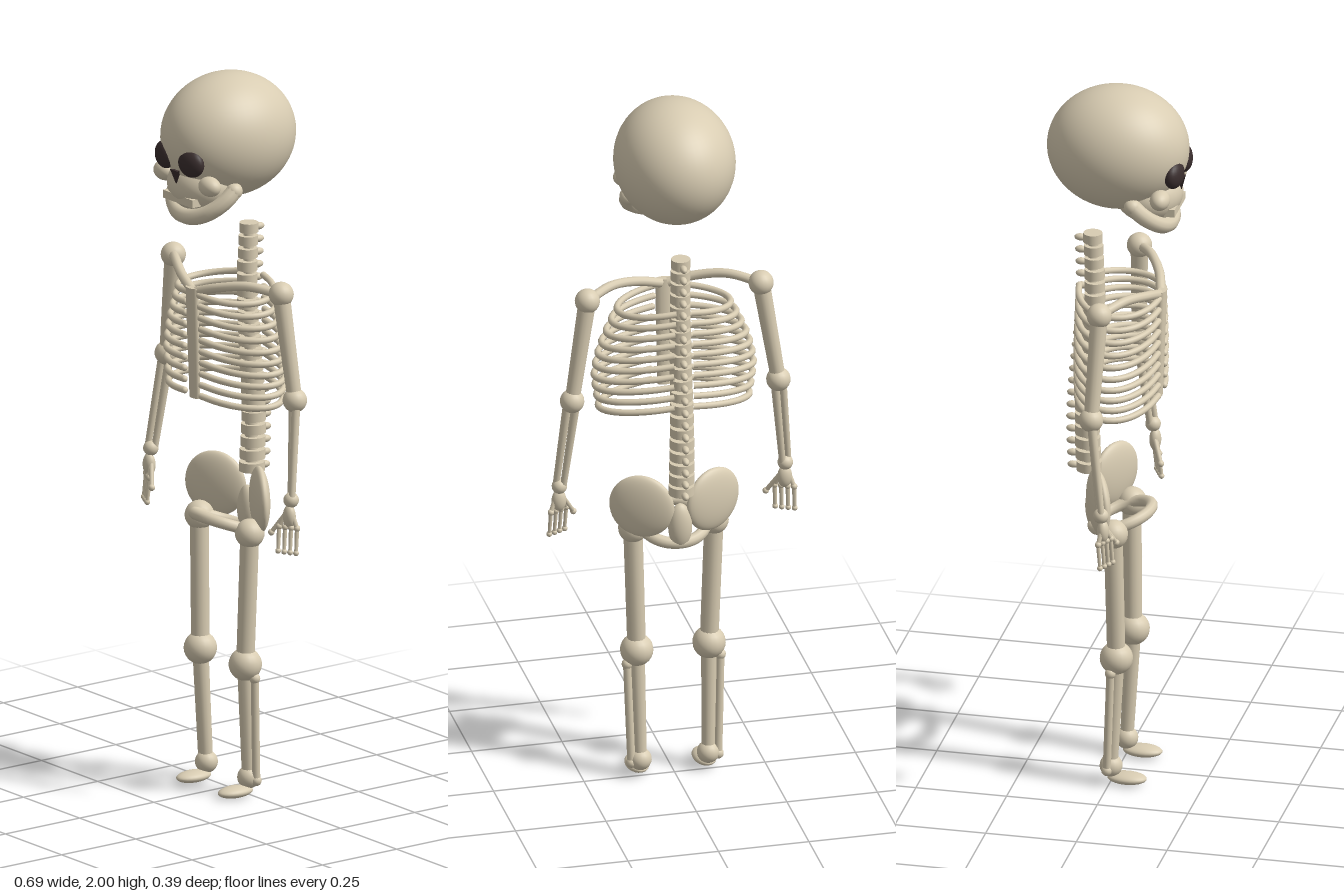
import * as THREE from 'three';

const bone = new THREE.MeshStandardMaterial({ color: 0xd8ccb2 });
bone.name = 'bone';
const dark = new THREE.MeshStandardMaterial({ color: 0x3a2e2e });
dark.name = 'socketDark';

const V = (x, y, z) => new THREE.Vector3(x, y, z);

function add(parent, name, geometry, material = bone) {
  const mesh = new THREE.Mesh(geometry, material);
  mesh.name = name;
  parent.add(mesh);
  return mesh;
}

function ellipsoid(parent, name, p, r, material = bone, seg = 24) {
  const mesh = add(parent, name, new THREE.SphereGeometry(1, seg, Math.round(seg * 0.7)), material);
  mesh.position.copy(p);
  mesh.scale.set(...r);
  return mesh;
}

const ball = (parent, name, p, r, seg = 20) => ellipsoid(parent, name, p, [r, r, r], bone, seg);

// Straight bone from a (radius ra) to b (radius rb)
function rod(parent, name, a, b, ra, rb = ra, seg = 14) {
  const d = b.clone().sub(a);
  const mesh = add(parent, name, new THREE.CylinderGeometry(rb, ra, d.length(), seg));
  mesh.position.copy(a).addScaledVector(d, 0.5);
  mesh.quaternion.setFromUnitVectors(V(0, 1, 0), d.normalize());
  return mesh;
}

function tube(parent, name, points, r, seg = 28, closed = false) {
  const curve = new THREE.CatmullRomCurve3(points, closed);
  return add(parent, name, new THREE.TubeGeometry(curve, seg, r, 10, closed));
}

function part(root, name) {
  const g = new THREE.Group();
  g.name = name;
  root.add(g);
  return g;
}

function buildSkull(root) {
  const g = part(root, 'skull');
  ellipsoid(g, 'cranium', V(0, 1.83, 0), [0.163, 0.17, 0.193], bone, 48);
  ellipsoid(g, 'face', V(0, 1.705, 0.085), [0.105, 0.078, 0.092], bone, 32);
  for (const s of [-1, 1]) {
    const eye = ellipsoid(g, 'eyeSocket', V(s * 0.058, 1.787, 0.168), [0.042, 0.038, 0.024], dark);
    eye.rotation.y = s * 0.2;
    ellipsoid(g, 'cheekbone', V(s * 0.1, 1.727, 0.138), [0.036, 0.027, 0.027]);
  }
  // Nose opening: a small wedge pointing down
  const nose = add(g, 'noseOpening', new THREE.ConeGeometry(0.02, 0.045, 3), dark);
  nose.position.set(0, 1.735, 0.173);
  nose.rotation.x = Math.PI;
  const teeth = add(g, 'teeth', new THREE.BoxGeometry(0.13, 0.022, 0.03));
  teeth.position.set(0, 1.675, 0.155);
  // Jaw: a U-shaped tube sloping forward and down
  const pts = [];
  for (let i = 0; i <= 12; i++) {
    const t = Math.PI * i / 12;
    pts.push(V(0.113 * Math.cos(t), 1.705 - 0.08 * Math.sin(t), 0.065 + 0.08 * Math.sin(t)));
  }
  tube(g, 'jaw', pts, 0.023, 40);
  ball(g, 'jawEnd', pts[0], 0.023);
  ball(g, 'jawEnd', pts[12], 0.023);
}

function buildSpine(root) {
  const g = part(root, 'spine');
  const n = 20;
  for (let i = 0; i < n; i++) {
    const t = i / (n - 1);
    const y = 1.555 - 0.67 * t;
    const z = -0.07 - 0.01 * t + 0.008 * Math.sin(t * Math.PI * 2);
    const r = 0.026 + 0.009 * t;
    const v = add(g, 'vertebra', new THREE.CylinderGeometry(r, r, 0.026, 18));
    v.position.set(0, y, z);
    ellipsoid(g, 'spinousProcess', V(0, y - 0.003, z - r - 0.008), [0.01, 0.01, 0.017], bone, 12);
  }
  rod(g, 'spinalCore', V(0, 1.555, -0.068), V(0, 0.885, -0.08), 0.014, 0.018);
}

function buildRibcage(root) {
  const g = part(root, 'ribcage');
  rod(g, 'sternum', V(0, 1.11, 0.112), V(0, 1.42, 0.122), 0.02, 0.024).scale.z = 0.5;
  for (let i = 0; i < 10; i++) {
    const t = i / 9;
    const y = 1.402 - 0.28 * t;
    const w = 0.155 + 0.065 * Math.sin(Math.min(1, t * 1.4) * Math.PI / 2) - 0.012 * Math.max(0, t - 0.7) / 0.3;
    for (const s of [-1, 1]) {
      // Half ellipse from the spine round to the breastbone
      const pts = [];
      for (let k = 0; k <= 10; k++) {
        const a = -Math.PI / 2 + 0.12 + (Math.PI - 0.3) * k / 10;
        pts.push(V(s * w * Math.cos(a), y + 0.012 - 0.02 * Math.cos(a) - 0.008 * Math.sin(a), 0.008 + 0.112 * Math.sin(a)));
      }
      tube(g, 'rib', pts, 0.009);
      ball(g, 'ribTip', pts[10], 0.009, 10);
    }
  }
}

function buildArm(root, s) {
  const g = part(root, s > 0 ? 'leftArm' : 'rightArm');
  const P = (x, y, z) => V(s * x, y, z);
  const shoulder = P(0.24, 1.435, 0.003), elbow = P(0.285, 1.147, -0.009), wrist = P(0.312, 0.88, 0.024);
  tube(g, 'collarbone', [P(0.01, 1.41, 0.115), P(0.08, 1.432, 0.095), P(0.16, 1.447, 0.055), shoulder], 0.013);
  ball(g, 'shoulderJoint', shoulder, 0.034);
  rod(g, 'upperArm', shoulder, elbow, 0.024, 0.02);
  ball(g, 'elbowJoint', elbow, 0.033);
  rod(g, 'ulna', P(0.274, 1.147, -0.012), P(0.303, 0.88, 0.018), 0.012, 0.009);
  rod(g, 'radius', P(0.296, 1.147, -0.005), P(0.321, 0.88, 0.028), 0.012, 0.009);
  ball(g, 'wristJoint', wrist, 0.021);
  ellipsoid(g, 'palm', P(0.312, 0.835, 0.03), [0.02, 0.032, 0.016]);
  // Four fingers with knuckles, then the thumb
  for (let i = 0; i < 4; i++) {
    const x = 0.288 + 0.016 * i, z = 0.046 - 0.008 * i;
    const base = P(x, 0.805, z), tip = P(x + 0.003, 0.738, z + 0.006);
    rod(g, 'handBone', P(0.305 + 0.005 * i, 0.85, 0.03), base, 0.007, 0.006, 8);
    ball(g, 'knuckle', base, 0.009, 10);
    rod(g, 'finger', base, tip, 0.006, 0.005, 8);
    ball(g, 'fingertip', tip, 0.008, 10);
  }
  const thumb = P(0.266, 0.785, 0.056);
  rod(g, 'thumb', P(0.302, 0.845, 0.03), thumb, 0.007, 0.006, 8);
  ball(g, 'thumbTip', thumb, 0.009, 10);
}

function buildPelvis(root) {
  const g = part(root, 'pelvis');
  for (const s of [-1, 1]) {
    const hip = ellipsoid(g, 'hipBlade', V(s * 0.098, 0.822, -0.032), [0.09, 0.09, 0.025], bone, 32);
    hip.rotation.y = -s * 0.48;
  }
  ellipsoid(g, 'sacrum', V(0, 0.768, -0.065), [0.033, 0.066, 0.025]);
  // Tilted ring, higher at the front
  const ring = [];
  for (let i = 0; i < 16; i++) {
    const a = Math.PI * 2 * i / 16;
    ring.push(V(0.088 * Math.cos(a), 0.745 + 0.028 * Math.sin(a), 0.012 + 0.078 * Math.sin(a)));
  }
  tube(g, 'pelvicRing', ring, 0.016, 48, true);
}

function buildLeg(root, s) {
  const g = part(root, s > 0 ? 'leftLeg' : 'rightLeg');
  const P = (x, y, z) => V(s * x, y, z);
  const hip = P(0.112, 0.738, 0.012), knee = P(0.1, 0.37, 0.018), ankle = P(0.094, 0.05, 0.002);
  ball(g, 'hipJoint', hip, 0.04);
  rod(g, 'thighBone', hip, knee, 0.026, 0.025);
  ball(g, 'kneeJoint', knee, 0.045);
  rod(g, 'shinBone', knee, ankle, 0.022, 0.018);
  const top = P(0.129, 0.335, 0.008), low = P(0.12, 0.045, -0.004);
  rod(g, 'calfBone', top, low, 0.011);
  ball(g, 'calfBoneTop', top, 0.015, 12);
  ball(g, 'calfBoneEnd', low, 0.015, 12);
  ball(g, 'ankleJoint', ankle, 0.031);
  ellipsoid(g, 'foot', P(0.093, 0.017, 0.046), [0.032, 0.016, 0.054]);
}

export function createModel() {
  const root = new THREE.Group();
  root.name = 'skeleton';
  buildSkull(root);
  buildSpine(root);
  buildRibcage(root);
  buildPelvis(root);
  for (const s of [-1, 1]) {
    buildArm(root, s);
    buildLeg(root, s);
  }
  return root;
}
